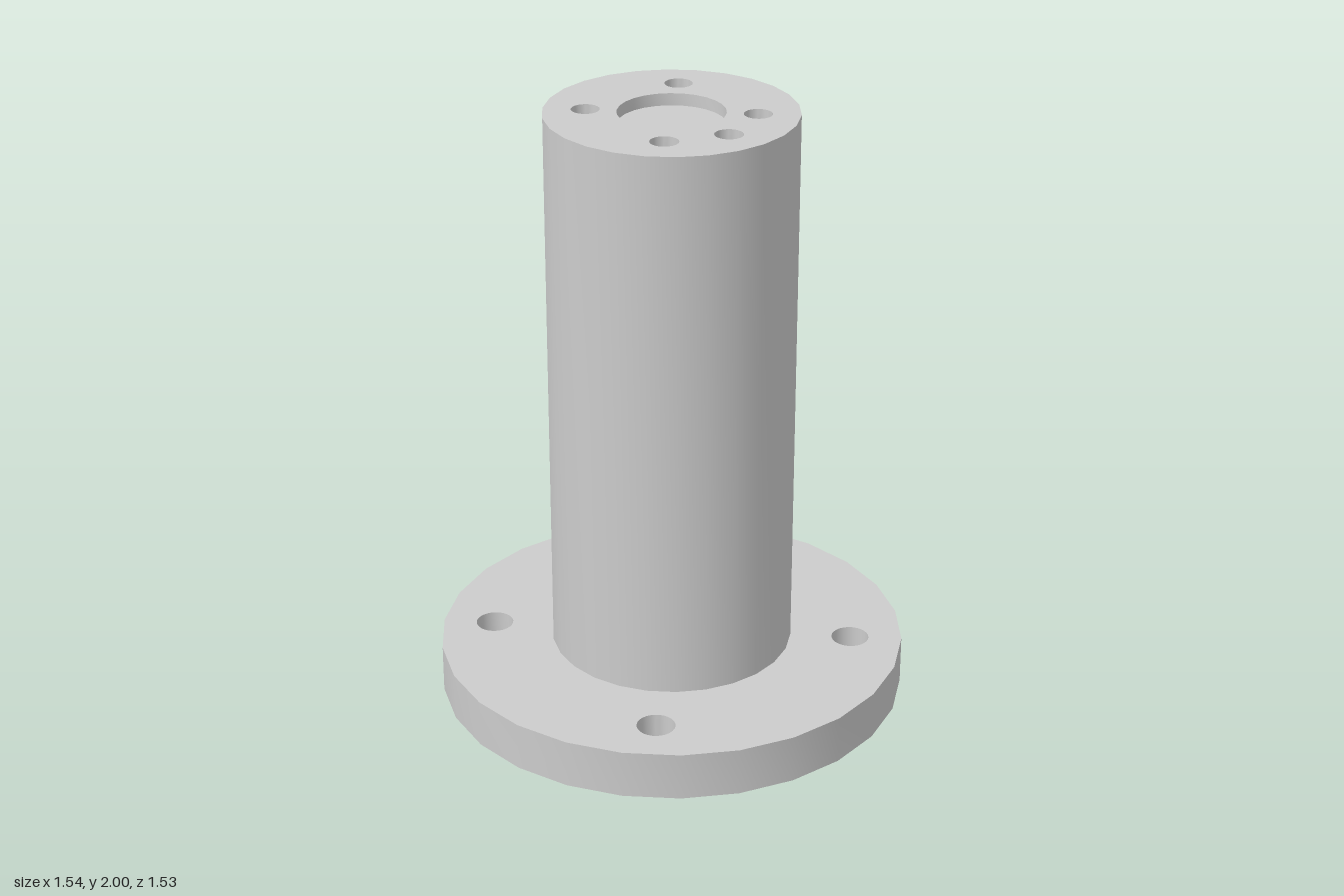
import * as THREE from 'three';
import { toCreasedNormals } from 'three/addons/utils/BufferGeometryUtils.js';

const SIDES = 26;
const FLANGE_TOP = 0.16, TOP = 2;
const FLANGE_R = 0.772, COLUMN_R = 0.4;

// Corners of a regular polygon with one corner on +x
function ring(cx, cz, r, n) {
  return Array.from({ length: n }, (_, i) => {
    const a = (i / n) * Math.PI * 2;
    return new THREE.Vector2(cx + r * Math.cos(a), -cz + r * Math.sin(a));
  });
}

// Disc outline pierced by round holes {x, z, r}
function disc(r, holes) {
  const shape = new THREE.Shape(ring(0, 0, r, SIDES));
  for (const h of holes) shape.holes.push(new THREE.Path(ring(h.x, h.z, h.r, SIDES)));
  return shape;
}

// Turned surface with one corner on +x
function turned(points) {
  const profile = points.map(([r, y]) => new THREE.Vector2(r, y));
  return toCreasedNormals(new THREE.LatheGeometry(profile, SIDES, Math.PI / 2), 0.6);
}

function polar(radius, degrees, r, depth) {
  const a = THREE.MathUtils.degToRad(degrees);
  return { x: radius * Math.cos(a), z: radius * Math.sin(a), r, depth };
}

export function createModel() {
  const model = new THREE.Group();
  const material = new THREE.MeshStandardMaterial({ color: 0xcccccc });
  const add = (parent, name, geometry) => {
    const mesh = new THREE.Mesh(geometry, material);
    mesh.name = name;
    parent.add(mesh);
    return mesh;
  };

  // Base flange with four through bolt holes
  const boltHoles = [0, 90, 180, 270].map((d) => polar(0.6, d, 0.062));
  const flange = new THREE.ExtrudeGeometry(disc(FLANGE_R, boltHoles), {
    depth: FLANGE_TOP, bevelEnabled: false,
  });
  flange.rotateX(-Math.PI / 2);
  add(model, 'baseFlange', toCreasedNormals(flange, 0.6));

  // Column: outer wall, pierced top face and blind holes
  const column = new THREE.Group();
  column.name = 'column';
  model.add(column);
  add(column, 'columnWall', turned([[COLUMN_R, FLANGE_TOP], [COLUMN_R, TOP]]));

  // Shallow centre recess, four screw holes and one locating hole
  const topHoles = [
    { x: 0, z: 0, r: 0.17, depth: 0.04 },
    ...[0, 45, 90, 180, 270].map((d) => polar(0.267, d, 0.045, 0.15)),
  ];
  const topFace = new THREE.ShapeGeometry(disc(COLUMN_R, topHoles));
  topFace.rotateX(-Math.PI / 2);
  add(column, 'columnTop', topFace).position.y = TOP;

  topHoles.forEach((h, i) => {
    const pocket = turned([[h.r, 0], [h.r, -h.depth], [0, -h.depth]]);
    add(column, i === 0 ? 'centreRecess' : 'screwHole', pocket).position.set(h.x, TOP, h.z);
  });

  return model;
}
